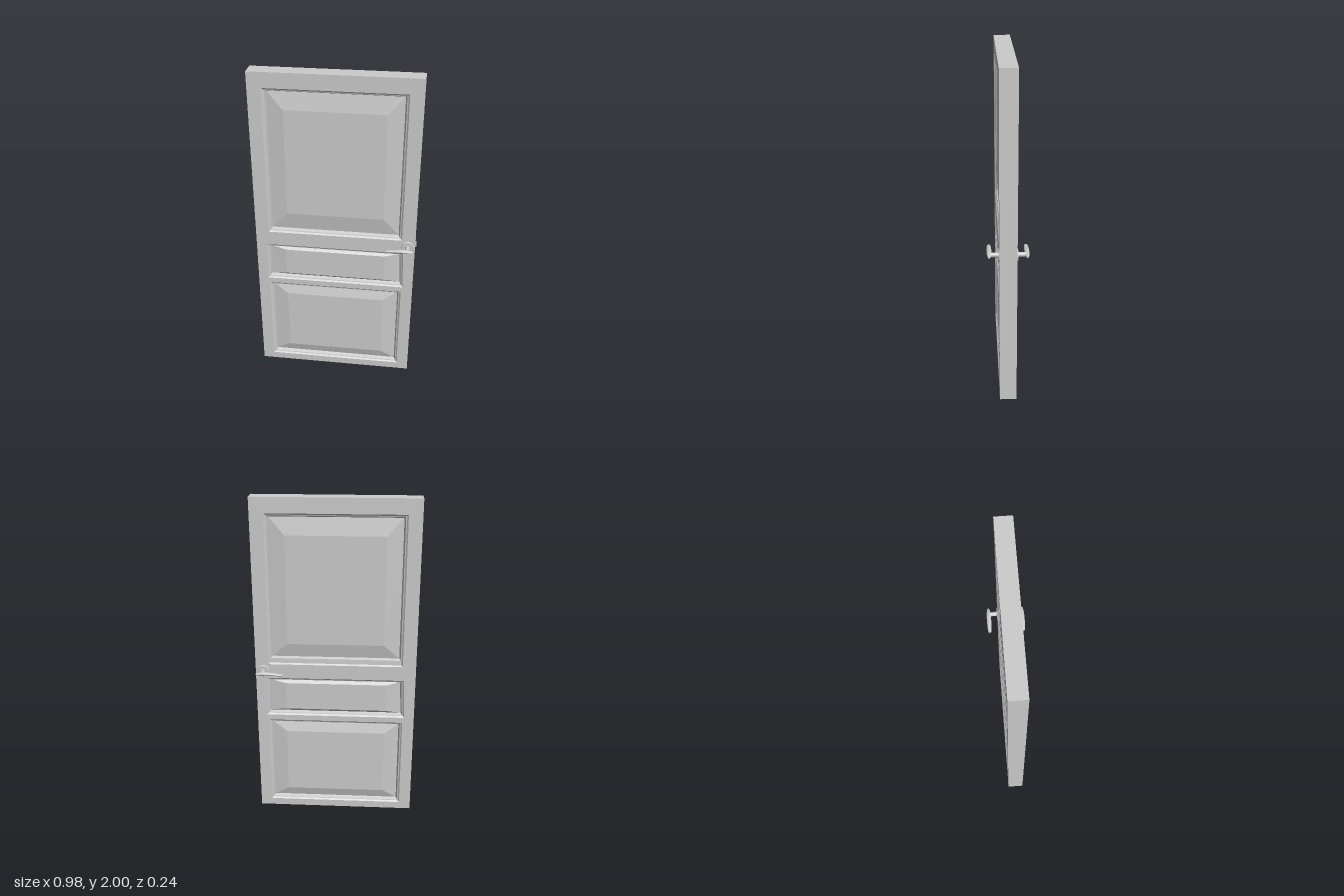
import * as THREE from 'three';

const T = 0.05; // half thickness of the door
const material = new THREE.MeshStandardMaterial({ color: 0xcccccc });
const flat = new THREE.MeshStandardMaterial({ color: 0xcccccc, flatShading: true });

function add(parent, name, geometry, mat = material) {
  const mesh = new THREE.Mesh(geometry, mat);
  mesh.name = name;
  parent.add(mesh);
  return mesh;
}

// Corners, counter-clockwise from bottom left
const quad = (l, r, b, t, flare = 0) => [[l - flare, b], [r + flare, b], [r, t], [l, t]];

function inset(c, d, bottom = d) {
  return [[c[0][0] + d, c[0][1] + bottom], [c[1][0] - d, c[1][1] + bottom],
    [c[2][0] - d, c[2][1] - d], [c[3][0] + d, c[3][1] - d]];
}

// Stepped panel face: rings of four corners joined from the frame edge to the raised field
function panelGeometry(rings, side) {
  const pos = [];
  const face = (a, b, c, d) => {
    const order = side > 0 ? [a, b, c, a, c, d] : [a, c, b, a, d, c];
    order.forEach((p) => pos.push(...p));
  };
  const loops = rings.map(([corners, z]) => corners.map(([x, y]) => [x, y, z * side]));
  for (let i = 0; i < loops.length - 1; i++) {
    for (let k = 0; k < 4; k++) {
      const n = (k + 1) % 4;
      face(loops[i][k], loops[i][n], loops[i + 1][n], loops[i + 1][k]);
    }
  }
  face(...loops[loops.length - 1]);
  const g = new THREE.BufferGeometry();
  g.setAttribute('position', new THREE.Float32BufferAttribute(pos, 3));
  g.computeVertexNormals();
  return g;
}

// Lever lofted through oval sections: [x, centre y, half height, half depth]
function leverGeometry() {
  const s = [[0.31, 0.953, 0.005, 0.009], [0.335, 0.955, 0.007, 0.012], [0.37, 0.958, 0.008, 0.014],
    [0.41, 0.96, 0.010, 0.014], [0.44, 0.958, 0.010, 0.013], [0.46, 0.956, 0.008, 0.010], [0.473, 0.955, 0.005, 0.005]];
  const g = new THREE.CylinderGeometry(1, 1, s.length - 1, 16, s.length - 1);
  g.rotateZ(-Math.PI / 2);
  const p = g.attributes.position;
  for (let i = 0; i < p.count; i++) {
    const [x, y, h, d] = s[Math.round(p.getX(i) + (s.length - 1) / 2)];
    p.setXYZ(i, x, y + p.getY(i) * h, p.getZ(i) * d);
  }
  g.computeVertexNormals();
  return g;
}

export function createModel() {
  const door = new THREE.Group();
  door.name = 'door';

  const panels = [
    { name: 'upperPanel', edge: quad(-0.41, 0.4, 1.0, 1.91), field: quad(-0.295, 0.285, 1.13, 1.785), backSill: 0.045 },
    { name: 'middlePanel', edge: quad(-0.42, 0.41, 0.66, 0.91, 0.01), field: quad(-0.31, 0.3, 0.7, 0.872) },
    { name: 'lowerPanel', edge: quad(-0.42, 0.41, 0.045, 0.625), field: quad(-0.31, 0.3, 0.125, 0.54) },
  ];

  // Frame with an opening for each panel
  const toPoints = (c) => c.map(([x, y]) => new THREE.Vector2(x, y));
  const outline = new THREE.Shape(toPoints(quad(-0.49, 0.48, 0, 2)));
  panels.forEach((p) => outline.holes.push(new THREE.Path(toPoints(p.edge))));
  const frame = new THREE.ExtrudeGeometry(outline, { depth: 2 * T, bevelEnabled: false });
  add(door, 'frame', frame.translate(0, 0, -T));

  // Moulding and raised field on both faces
  for (const side of [1, -1]) {
    const face = side > 0 ? 'Front' : 'Back';
    for (const p of panels) {
      const sill = (side < 0 && p.backSill) || 0.022;
      add(door, p.name + face, panelGeometry([
        [p.edge, T],
        [inset(p.edge, 0.008), 0.042],
        [inset(p.edge, 0.014, sill - 0.008), 0.04],
        [inset(p.edge, 0.022, sill), 0.022],
        [p.field, 0.04],
      ], side), flat);
    }

    // Handle: rosette, stem and lever
    const handle = new THREE.Group();
    handle.name = 'handle' + face;
    const rosette = add(handle, 'rosette', new THREE.CylinderGeometry(0.036, 0.04, 0.006, 32));
    rosette.rotation.x = side * Math.PI / 2;
    rosette.position.set(0.435, 0.955, side * (T + 0.002));
    const stem = add(handle, 'stem', new THREE.CylinderGeometry(0.014, 0.014, 0.055, 20));
    stem.rotation.x = Math.PI / 2;
    stem.position.set(0.435, 0.955, side * 0.077);
    add(handle, 'lever', leverGeometry()).position.z = side * 0.106;
    door.add(handle);
  }

  // Latch on the door edge
  add(door, 'latchPlate', new THREE.BoxGeometry(0.004, 0.07, 0.03)).position.set(0.479, 0.953, 0);
  add(door, 'latchBolt', new THREE.BoxGeometry(0.014, 0.03, 0.012)).position.set(0.48, 0.955, 0);
  return door;
}
